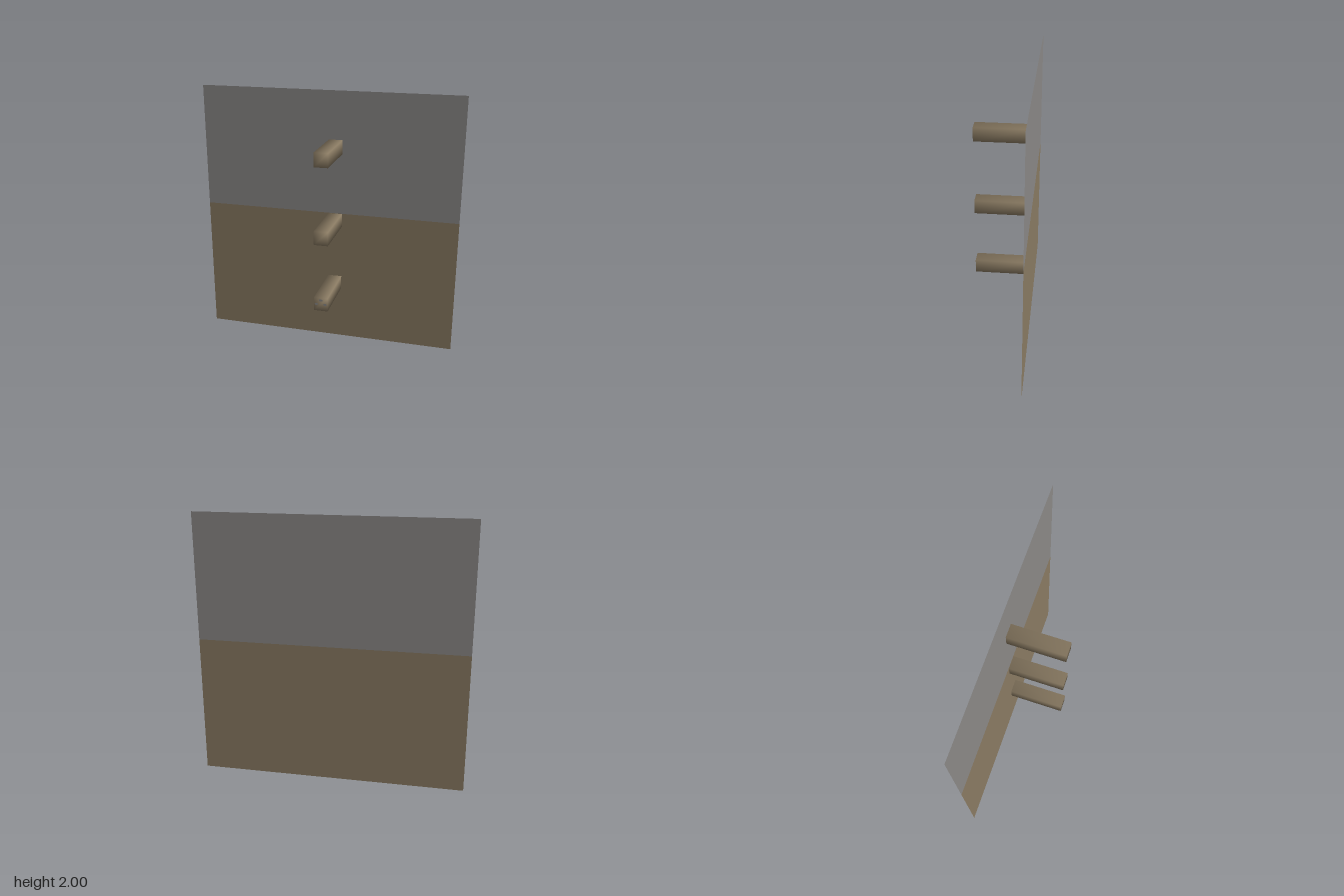
import * as THREE from 'three';
import { mergeVertices } from 'three/addons/utils/BufferGeometryUtils.js';

const DEPTH = 0.43, SIZE = 0.105, BACK = -DEPTH / 2, SPLIT = 1.055;

// Box with shared corners, so the shading runs smoothly over its edges
function softBox(w, h, d) {
  let geo = new THREE.BoxGeometry(w, h, d);
  geo.deleteAttribute('uv');
  geo.deleteAttribute('normal');
  geo = mergeVertices(geo);
  geo.computeVertexNormals();
  return geo;
}

export function createModel() {
  const model = new THREE.Group();
  const grey = new THREE.MeshStandardMaterial({ color: 0x8a8886, side: THREE.DoubleSide });
  grey.name = 'stone grey';
  const tan = new THREE.MeshStandardMaterial({ color: 0x897a62, side: THREE.DoubleSide });
  tan.name = 'earth tan';

  const add = (name, geo, mat, x, y, z, parent = model) => {
    const mesh = new THREE.Mesh(geo, mat);
    mesh.name = name;
    mesh.position.set(x, y, z);
    parent.add(mesh);
    return mesh;
  };

  // Back panel in two colours
  add('lowerPanel', new THREE.PlaneGeometry(2, SPLIT), tan, 0, SPLIT / 2, BACK);
  add('upperPanel', new THREE.PlaneGeometry(2, 2 - SPLIT), grey, 0, (2 + SPLIT) / 2, BACK);

  // Three pegs standing out from the panel
  const pegGeo = softBox(SIZE, SIZE, DEPTH - 0.002);
  const pegs = [['lowerPeg', 0.477], ['middlePeg', 1.001], ['upperPeg', 1.582]].map(
    ([name, y]) => add(name, pegGeo, tan, 0.052, y, 0.001));

  // Three small spots on the end of the lowest peg
  const spotGeo = new THREE.CircleGeometry(0.014, 12).scale(1, 0.65, 1);
  for (const [x, y] of [[0, 0.033], [-0.033, 0.001], [0.033, 0.001]]) {
    add('pegSpot', spotGeo, grey, x, y, DEPTH / 2 + 0.001, pegs[0]);
  }
  return model;
}
